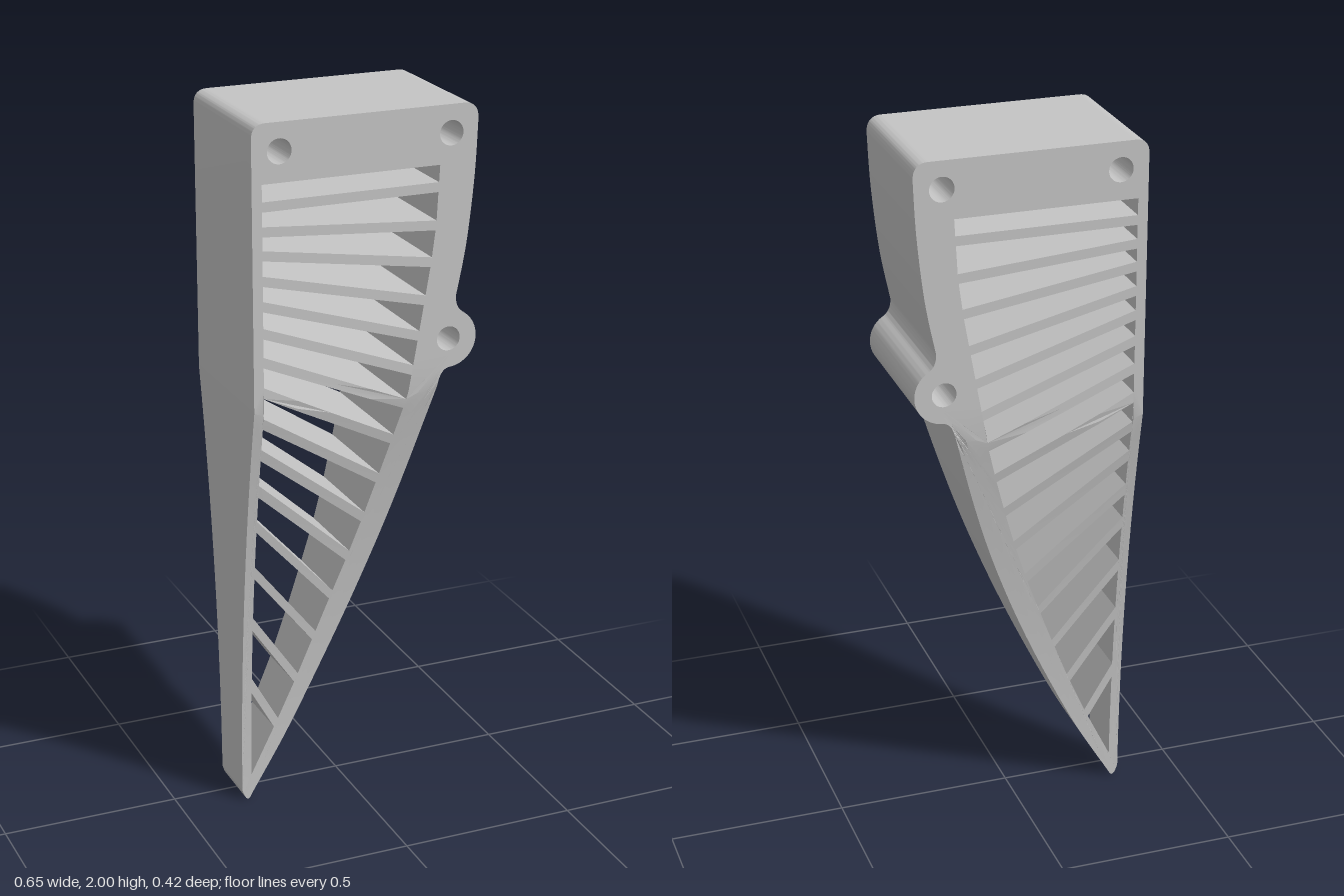
import * as THREE from 'three';
import { toCreasedNormals } from 'three/addons/utils/BufferGeometryUtils.js';

const LEFT = -0.323, INNER_LEFT = -0.295;
const V = (x, y) => new THREE.Vector2(x, y);

// half depth of the bracket: constant above, tapering towards the tip
const halfDepth = (y) => 0.08 + 0.13 * Math.pow(Math.min(y / 1.22, 1), 2);

// inner edge of the curved right wall, as [y, x]
const INNER = [[0.075, -0.295], [0.228, -0.22], [0.36, -0.161], [0.493, -0.108], [0.615, -0.061],
  [0.72, -0.021], [0.838, 0.019], [0.96, 0.056], [1.08, 0.09], [1.19, 0.119], [1.34, 0.146],
  [1.46, 0.167], [1.57, 0.186], [1.676, 0.2], [1.84, 0.209]];

function innerX(y) {
  let i = 1;
  while (i < INNER.length - 1 && INNER[i][0] < y) i++;
  const [y0, x0] = INNER[i - 1], [y1, x1] = INNER[i];
  return x0 + (x1 - x0) * (y - y0) / (y1 - y0);
}

// slat centre lines: height at the left wall, height at the right wall
const SLATS = [[1.78, 1.78], [1.714, 1.676], [1.65, 1.576], [1.581, 1.472], [1.512, 1.374],
  [1.438, 1.279], [1.358, 1.183], [1.273, 1.077], [1.183, 0.96], [1.088, 0.843],
  [0.976, 0.727], [0.865, 0.61], [0.721, 0.488], [0.557, 0.361], [0.361, 0.228]];

// upper or lower edge of a slat: heights where it meets both walls
function slatEdge([yl, yr], side) {
  const thickness = yl < 0.9 ? 0.023 : 0.027;
  const m = (yr - yl) / (innerX(yr) - INNER_LEFT);
  const start = yl + side * thickness / 2 * Math.hypot(1, m);
  let x = innerX(yr);
  for (let i = 0; i < 40; i++) x = (x + innerX(start + m * (x - INNER_LEFT))) / 2;
  return [start, start + m * (x - INNER_LEFT)];
}

function outline() {
  const s = new THREE.Shape();
  s.moveTo(LEFT + 0.04, 2);
  s.lineTo(0.276, 2);
  s.quadraticCurveTo(0.318, 2, 0.318, 1.955);
  s.splineThru([V(0.31, 1.8), V(0.29, 1.62), V(0.262, 1.475)]);
  // side lug with its fillets
  s.quadraticCurveTo(0.26, 1.44, 0.286, 1.423);
  s.absarc(0.241, 1.355, 0.082, 0.99, -1.48, true);
  s.quadraticCurveTo(0.222, 1.272, 0.213, 1.235);
  // sweeping edge down to the rounded tip
  s.splineThru([V(0.147, 1), V(0.082, 0.8), V(0, 0.59), V(-0.09, 0.39), V(-0.19, 0.19), V(-0.295, 0.012)]);
  s.quadraticCurveTo(-0.309, -0.02, LEFT, 0.03);
  s.lineTo(LEFT, 1.22);
  s.lineTo(LEFT, 1.96);
  s.quadraticCurveTo(LEFT, 2, LEFT + 0.04, 2);
  return s;
}

// halve tall triangles in the tapering part so that the faces can curve
function subdivide(geometry, maxRise) {
  const p = geometry.attributes.position, stack = [], out = [];
  for (let i = 0; i < p.count; i += 3) {
    stack.push([0, 1, 2].map((k) => new THREE.Vector3().fromBufferAttribute(p, i + k)));
  }
  while (stack.length) {
    let [a, b, c] = stack.pop();
    const rise = (u, v) => (Math.min(u.y, v.y) < 1.22 ? Math.abs(u.y - v.y) : 0);
    const ab = rise(a, b), bc = rise(b, c), ca = rise(c, a);
    const most = Math.max(ab, bc, ca);
    if (most <= maxRise) {
      out.push(a, b, c);
      continue;
    }
    if (most === bc) [a, b, c] = [b, c, a];
    else if (most === ca) [a, b, c] = [c, a, b];
    const mid = a.clone().add(b).multiplyScalar(0.5);
    stack.push([a, mid, c], [mid, b, c]);
  }
  return new THREE.BufferGeometry().setFromPoints(out);
}

export function createModel() {
  const shape = outline();

  // screw holes
  for (const [x, y] of [[-0.246, 1.923], [0.241, 1.923], [0.241, 1.355]]) {
    shape.holes.push(new THREE.Path().absarc(x, y, 0.034, 0, Math.PI * 2, false));
  }

  // slots between the fanned slats, counter-clockwise
  for (let i = 0; i <= SLATS.length; i++) {
    const top = i === 0 ? [1.84, 1.84] : slatEdge(SLATS[i - 1], -1);
    const bottom = i === SLATS.length ? [0.075, 0.075] : slatEdge(SLATS[i], 1);
    const pts = [V(INNER_LEFT, top[0])];
    if (i < SLATS.length) pts.push(V(INNER_LEFT, bottom[0]));
    for (let k = 0; k <= 3; k++) {
      const y = bottom[1] + (top[1] - bottom[1]) * k / 3;
      pts.push(V(innerX(y), y));
    }
    shape.holes.push(new THREE.Path(pts).closePath());
  }

  // extrude to unit depth, then taper by height
  const block = new THREE.ExtrudeGeometry(shape, { depth: 1, bevelEnabled: false, curveSegments: 24 });
  const geo = subdivide(block, 0.08);
  const p = geo.attributes.position;
  for (let i = 0; i < p.count; i++) {
    p.setZ(i, (p.getZ(i) - 0.5) * 2 * halfDepth(p.getY(i)));
  }

  const grey = new THREE.MeshStandardMaterial({ color: 0xc4c4c4 });
  grey.name = 'grey';
  const body = new THREE.Mesh(toCreasedNormals(geo, 0.2), grey);
  body.name = 'slattedBracket';
  const group = new THREE.Group();
  group.name = 'taperedVentBracket';
  group.add(body);
  return group;
}
